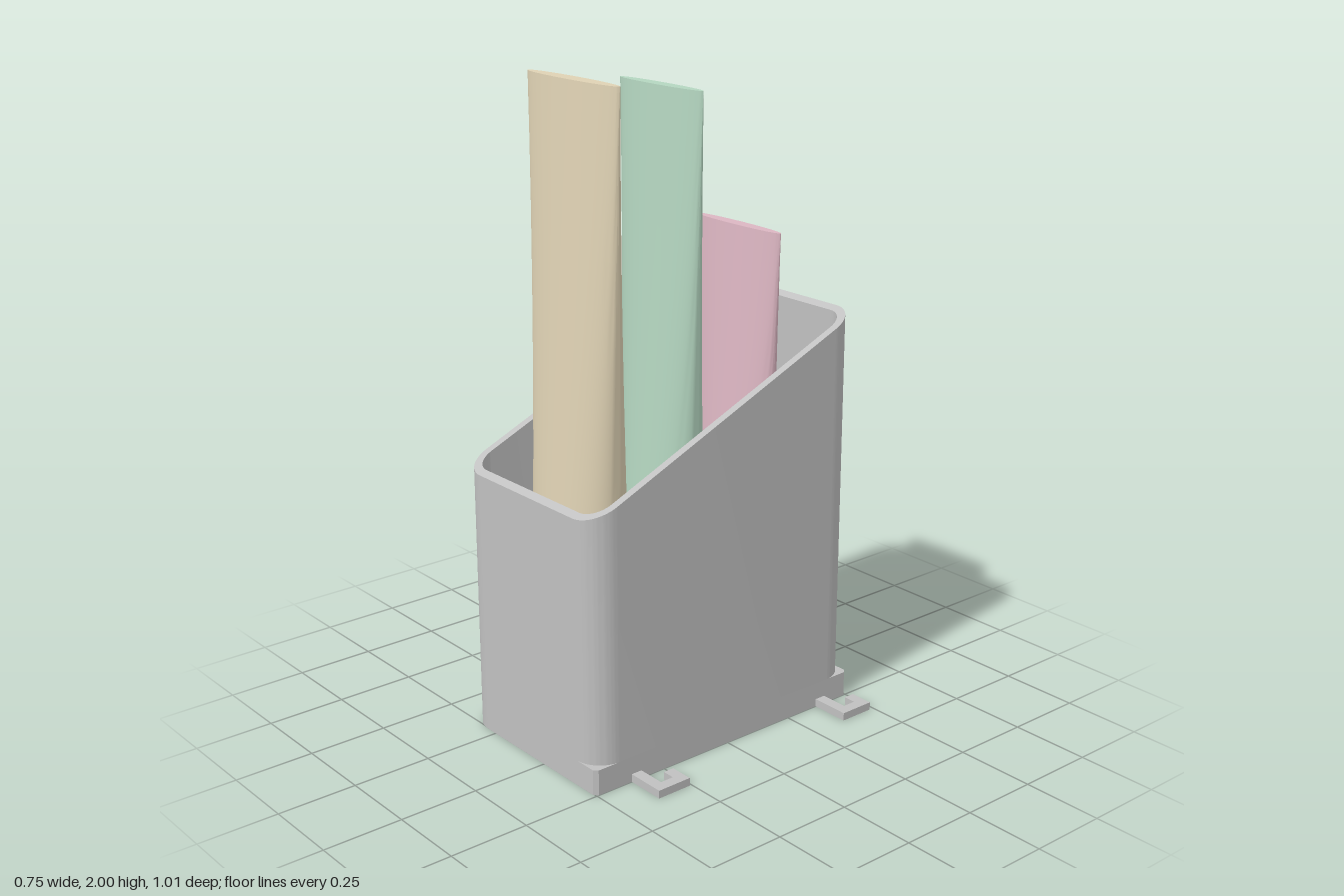
import * as THREE from 'three';
import { toCreasedNormals } from 'three/addons/utils/BufferGeometryUtils.js';

const X0 = -0.38, X1 = 0.25, Z = 0.505, FLOOR = 0.08, SLOT = 0.03;

function material(name, color) {
  const m = new THREE.MeshStandardMaterial({ color });
  m.name = name;
  return m;
}

// Rounded rectangle in plan; shape coordinates are (x, -z)
function roundedRect(path, x0, x1, h, r) {
  path.moveTo(x0 + r, -h);
  path.lineTo(x1 - r, -h);
  path.absarc(x1 - r, -h + r, r, -Math.PI / 2, 0);
  path.lineTo(x1, h - r);
  path.absarc(x1 - r, h - r, r, 0, Math.PI / 2);
  path.lineTo(x0 + r, h);
  path.absarc(x0 + r, h - r, r, Math.PI / 2, Math.PI);
  path.lineTo(x0, -h + r);
  path.absarc(x0 + r, -h + r, r, Math.PI, Math.PI * 1.5);
  return path;
}

// Extrude a plan shape upwards from y to y + height
function raise(shape, y, height) {
  const g = new THREE.ExtrudeGeometry(shape, { depth: height, bevelEnabled: false, curveSegments: 12 });
  return g.rotateX(-Math.PI / 2).translate(0, y, 0);
}

// Hook outline starting at the edge x, for the arm whose front side is at z
function hookPoints(x, z) {
  return [[0, 0], [0.125, 0], [0.125, 0.115], [0.05, 0.115], [0.05, 0.08], [0.09, 0.08], [0.09, 0.036], [0, 0.036]]
    .map(([dx, dz]) => new THREE.Vector2(x + dx, -z + dz));
}

// Base plan: square corners on the hook side, round on the other, optional hook slots
function baseShape(slotZs) {
  const s = new THREE.Shape(), r = 0.09, c = 0.012;
  s.moveTo(X0 + r, -Z);
  s.lineTo(X1 - c, -Z);
  s.lineTo(X1, -Z + c);
  s.lineTo(X1, Z - c);
  s.lineTo(X1 - c, Z);
  s.lineTo(X0 + r, Z);
  s.absarc(X0 + r, Z - r, r, Math.PI / 2, Math.PI);
  for (const z of slotZs) {
    for (const p of hookPoints(X0, z).reverse()) s.lineTo(p.x, p.y);
  }
  s.lineTo(X0, -Z + r);
  s.absarc(X0 + r, -Z + r, r, Math.PI, Math.PI * 1.5);
  return s;
}

export function createModel() {
  const group = new THREE.Group();
  const grey = material('grey plastic', 0xc0c0c0);
  const add = (name, geometry, mat) => {
    const mesh = new THREE.Mesh(geometry, mat);
    mesh.name = name;
    group.add(mesh);
    return mesh;
  };
  const hookZs = [-0.37, 0.372];

  // Base in two layers, the lower one cut by the hook slots
  add('slottedBase', toCreasedNormals(raise(baseShape(hookZs), 0, SLOT), 0.5), grey);
  add('floor', toCreasedNormals(raise(baseShape([]), SLOT, FLOOR - SLOT), 0.5), grey);

  // Walls with a rim sloping down to the front
  const ring = roundedRect(new THREE.Shape(), X0, X1, Z, 0.09);
  ring.holes.push(roundedRect(new THREE.Path(), X0 + 0.025, X1 - 0.025, Z - 0.025, 0.065));
  const walls = raise(ring, FLOOR, 1);
  const p = walls.attributes.position;
  for (let i = 0; i < p.count; i++) {
    if (p.getY(i) > 0.5) p.setY(i, 1.0475 - 0.431 * p.getZ(i));
  }
  add('walls', toCreasedNormals(walls, 0.5), grey);

  // Connecting hooks on one side
  for (const z of hookZs) {
    add('hook', raise(new THREE.Shape(hookPoints(X1, z)), 0, 0.025), grey);
  }

  // Rows of small round studs on the floor
  for (const z of [-0.253, -0.032, 0.19]) {
    for (let i = 0; i < 4; i++) {
      const stud = add('floorStud', new THREE.CylinderGeometry(0.022, 0.022, 0.006, 24), grey);
      stud.position.set(0.03 + i * 0.063, FLOOR + 0.003, z);
    }
  }

  // Tubes: round at the foot, flattened to a thin ellipse at the top
  const tubes = [
    ['creamTube', 0xdfd2b4, 0.308, 2.0, 0.157, 0.207, 0.024],
    ['greenTube', 0xb4d6c0, -0.004, 1.955, 0.139, 0.184, 0.02],
    ['pinkTube', 0xdcb6c2, -0.301, 1.51, 0.133, 0.19, 0.02],
  ];
  for (const [name, color, z, top, radius, width, depth] of tubes) {
    const g = new THREE.CylinderGeometry(1, 1, top - FLOOR, 64, 12);
    const q = g.attributes.position;
    for (let i = 0; i < q.count; i++) {
      const t = q.getY(i) / (top - FLOOR) + 0.5;
      q.setX(i, q.getX(i) * THREE.MathUtils.lerp(radius, width, t));
      q.setZ(i, q.getZ(i) * THREE.MathUtils.lerp(radius, depth, t));
    }
    const tube = add(name, toCreasedNormals(g, 0.6), material(name + ' colour', color));
    tube.position.set(-0.065, (top + FLOOR) / 2, z);
  }
  return group;
}
